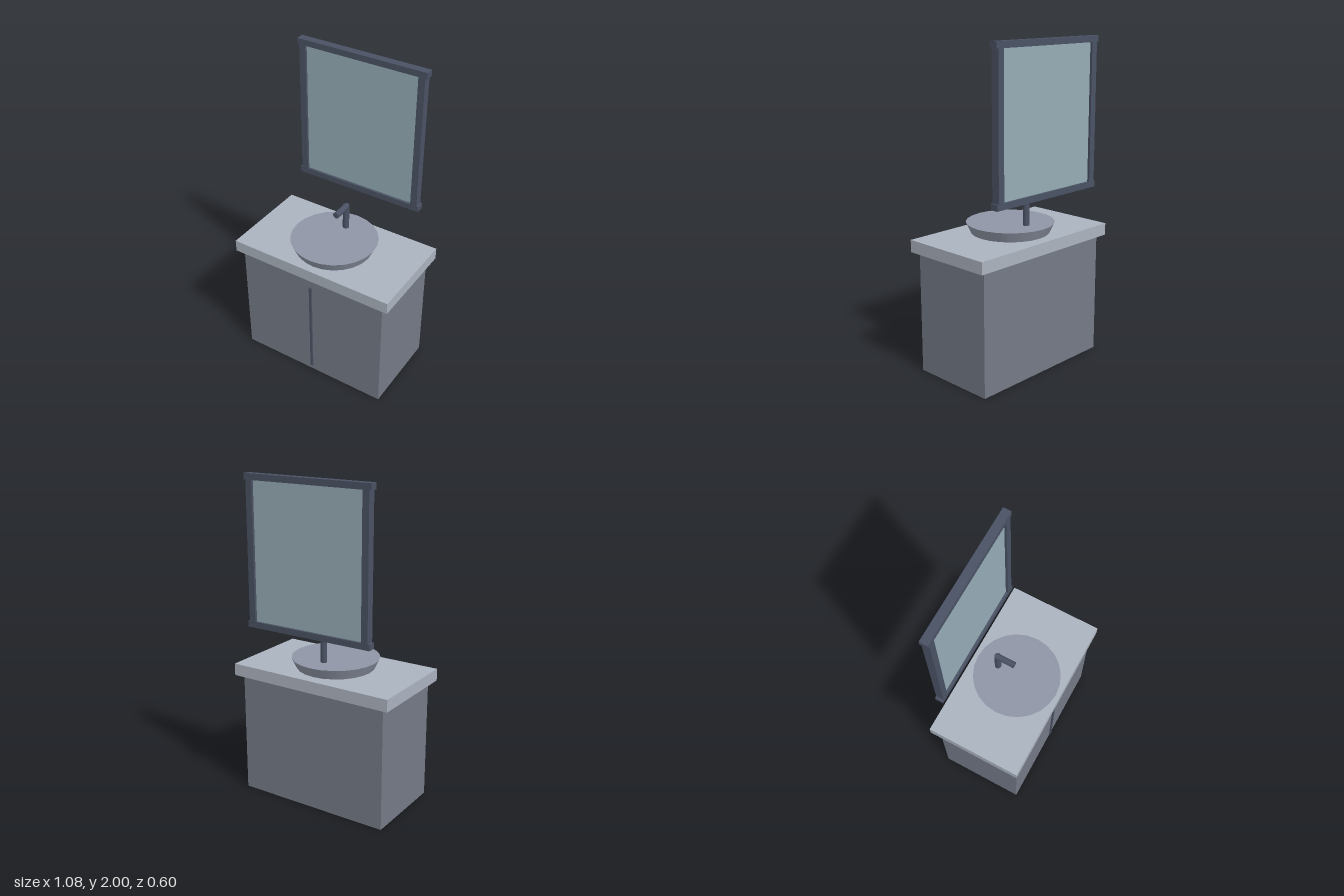
import * as THREE from 'three';

const mat = (color) => new THREE.MeshStandardMaterial({ color });

export function createModel() {
  const group = new THREE.Group();
  const cabinetMat = mat(0x747a87);
  const stoneMat = mat(0xabb3bf);
  const basinMat = mat(0x8f96a6);
  const metalMat = mat(0x4a5264);
  const glassMat = mat(0x96acb6);

  const add = (name, geometry, material, x, y, z) => {
    const mesh = new THREE.Mesh(geometry, material);
    mesh.name = name;
    mesh.position.set(x, y, z);
    group.add(mesh);
    return mesh;
  };
  // Box given by its lower and upper corners
  const box = (name, material, [x0, y0, z0], [x1, y1, z1]) =>
    add(name, new THREE.BoxGeometry(x1 - x0, y1 - y0, z1 - z0), material,
      (x0 + x1) / 2, (y0 + y1) / 2, (z0 + z1) / 2);

  // Vanity cabinet, worktop and the slim vertical handle
  box('cabinet', cabinetMat, [-0.495, 0, -0.267], [0.495, 0.762, 0.275]);
  box('countertop', stoneMat, [-0.54, 0.762, -0.3], [0.54, 0.837, 0.3]);
  box('doorHandle', metalMat, [-0.008, 0.035, 0.27], [0.008, 0.69, 0.285]);

  // Flared round basin
  add('basin', new THREE.CylinderGeometry(0.27, 0.24, 0.063, 24), basinMat, 0, 0.8685, 0.01);

  // Tap: upright post and horizontal spout
  add('faucetPost', new THREE.CylinderGeometry(0.02, 0.02, 0.165, 12), metalMat, 0, 0.9825, -0.121);
  const spout = add('faucetSpout', new THREE.CylinderGeometry(0.02, 0.02, 0.12, 12), metalMat, 0, 1.053, -0.066);
  spout.rotation.x = Math.PI / 2;

  // Mirror: rails overhang the stiles, with the pane set inside
  for (const [name, y] of [['mirrorBottomRail', 1.095], ['mirrorTopRail', 1.963]]) {
    box(name, metalMat, [-0.421, y, -0.3], [0.421, y + 0.037, -0.25]);
  }
  for (const [name, side] of [['mirrorLeftStile', 1], ['mirrorRightStile', -1]]) {
    const x = side * 0.388;
    box(name, metalMat, [x - 0.021, 1.132, -0.3], [x + 0.021, 1.963, -0.25]);
  }
  box('mirrorGlass', glassMat, [-0.367, 1.132, -0.285], [0.367, 1.963, -0.265]);

  return group;
}
